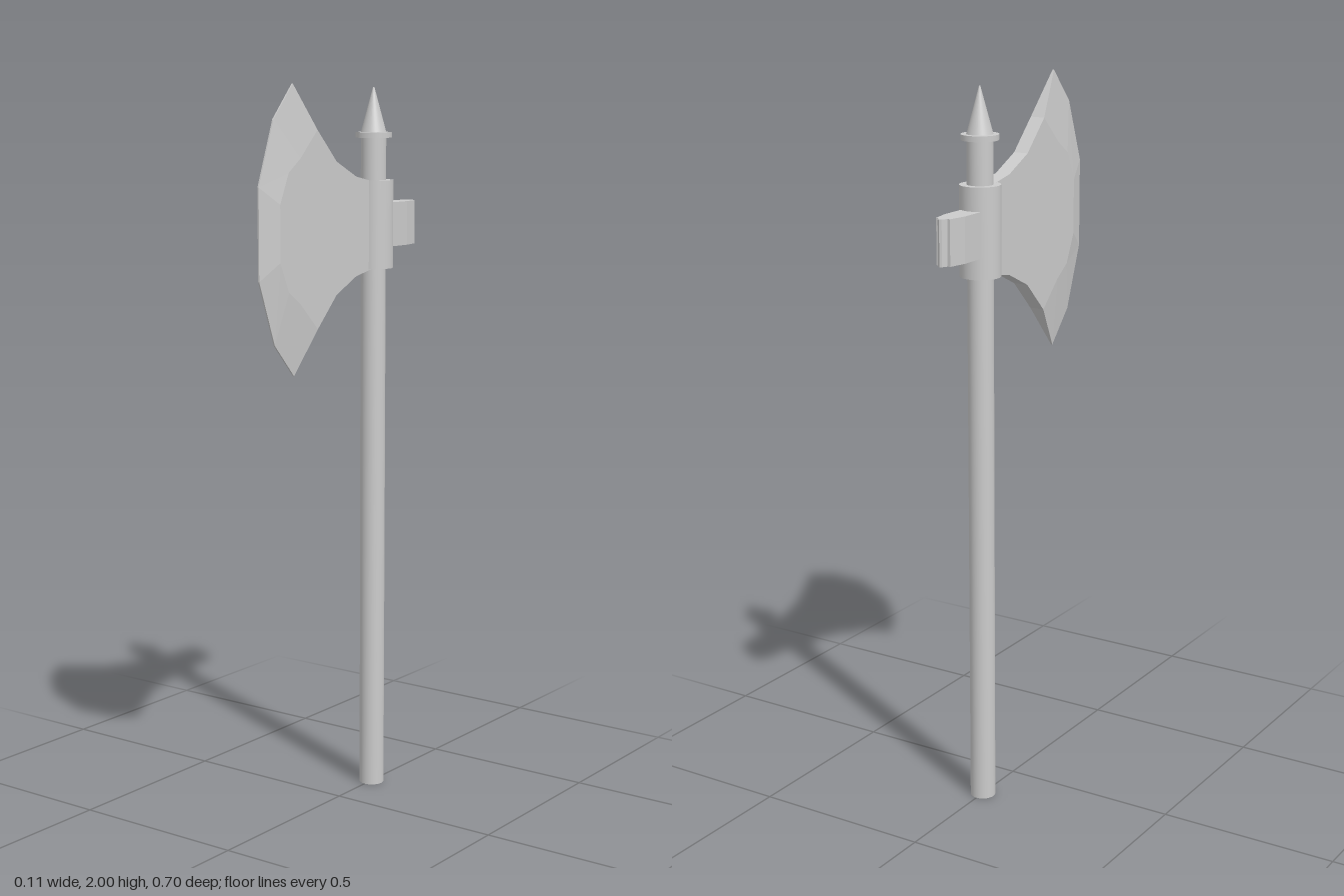
import * as THREE from 'three';

const AXIS_Z = -0.16;  // handle axis
const MID_Y = 1.618;   // blade symmetry line

function add(group, name, geometry, flat = false) {
  const material = new THREE.MeshStandardMaterial({ color: 0xcccccc, flatShading: flat });
  const mesh = new THREE.Mesh(geometry, material);
  mesh.name = name;
  group.add(mesh);
  return mesh;
}

// Upright round part on the handle axis, from y0 to y1
function roundPart(group, name, r0, r1, y0, y1) {
  const mesh = add(group, name, new THREE.CylinderGeometry(r1, r0, y1 - y0, 32));
  mesh.position.set(0, (y0 + y1) / 2, AXIS_Z);
}

// Flat cheeks, with bevels running out to a thin cutting edge
function bladeGeometry() {
  const THICK = 0.021, THIN = 0.002;
  // upper half: outer [z, y above middle], cheek [z, y above middle], half thickness of the outer rim
  const half = [
    [-0.14, 0.12, -0.14, 0.12, THICK],
    [-0.11, 0.123, -0.11, 0.123, THICK],
    [-0.05, 0.135, -0.05, 0.135, THICK],
    [0.04, 0.178, 0.04, 0.178, THICK],
    [0.125, 0.263, 0.125, 0.263, THICK],
    [0.206, 0.382, 0.2, 0.19, THIN],
    [0.288, 0.292, 0.25, 0.155, THIN],
    [0.351, 0.121, 0.286, 0.075, THIN],
  ];
  const rows = half.concat(half.slice().reverse().map(([z, y, iz, iy, t]) => [z, -y, iz, -iy, t]));
  const n = rows.length;
  const pos = [], index = [];
  // loops: +x cheek, +x rim, -x rim, -x cheek
  for (const loop of [0, 1, 2, 3]) {
    const side = loop < 2 ? 1 : -1;
    for (const [z, y, iz, iy, t] of rows) {
      if (loop === 0 || loop === 3) pos.push(side * THICK, MID_Y + iy, iz);
      else pos.push(side * t, MID_Y + y, z);
    }
  }
  for (let loop = 0; loop < 3; loop++) {
    for (let i = 0; i < n; i++) {
      const j = (i + 1) % n;
      const a = loop * n + i, b = loop * n + j, c = a + n, d = b + n;
      index.push(a, d, b, a, c, d);
    }
  }
  // cheek caps; signed area in the z-y plane decides the corner order
  const inner = rows.map((r) => new THREE.Vector2(r[2], r[3]));
  for (const tri of THREE.ShapeUtils.triangulateShape(inner, [])) {
    const [p, q, r] = tri.map((k) => inner[k]);
    const area = (q.x - p.x) * (r.y - p.y) - (q.y - p.y) * (r.x - p.x);
    const [a, b, c] = area < 0 ? tri : [tri[0], tri[2], tri[1]];
    index.push(a, b, c, 3 * n + a, 3 * n + c, 3 * n + b);
  }
  const g = new THREE.BufferGeometry();
  g.setAttribute('position', new THREE.Float32BufferAttribute(pos, 3));
  g.setIndex(index);
  const flat = g.toNonIndexed();
  flat.computeVertexNormals();
  return flat;
}

// Hammer block behind the collar: a plan outline extruded upward
function pollGeometry() {
  const side = [[0.031, 0.17], [0.031, 0.28], [0.021, 0.333], [0.013, 0.333], [0.006, 0.348]];
  const outline = side.concat([[0, 0.351]], side.slice().reverse().map(([x, z]) => [-x, z]));
  const shape = new THREE.Shape(outline.map(([x, z]) => new THREE.Vector2(x, z)));
  const g = new THREE.ExtrudeGeometry(shape, { depth: 0.122, bevelEnabled: false });
  g.rotateX(-Math.PI / 2); // outline y becomes -z, depth becomes +y
  g.translate(0, 1.555, 0);
  return g;
}

export function createModel() {
  const group = new THREE.Group();
  group.name = 'battleAxe';

  // Handle and its fittings
  roundPart(group, 'handle', 0.035, 0.035, 0, 1.86);
  roundPart(group, 'collar', 0.055, 0.055, 1.498, 1.74);
  roundPart(group, 'spikeRing', 0.05, 0.05, 1.855, 1.87);
  roundPart(group, 'topSpike', 0.035, 0.002, 1.87, 1.992);

  // Axe head
  add(group, 'blade', bladeGeometry(), true);
  add(group, 'poll', pollGeometry(), true);
  return group;
}
